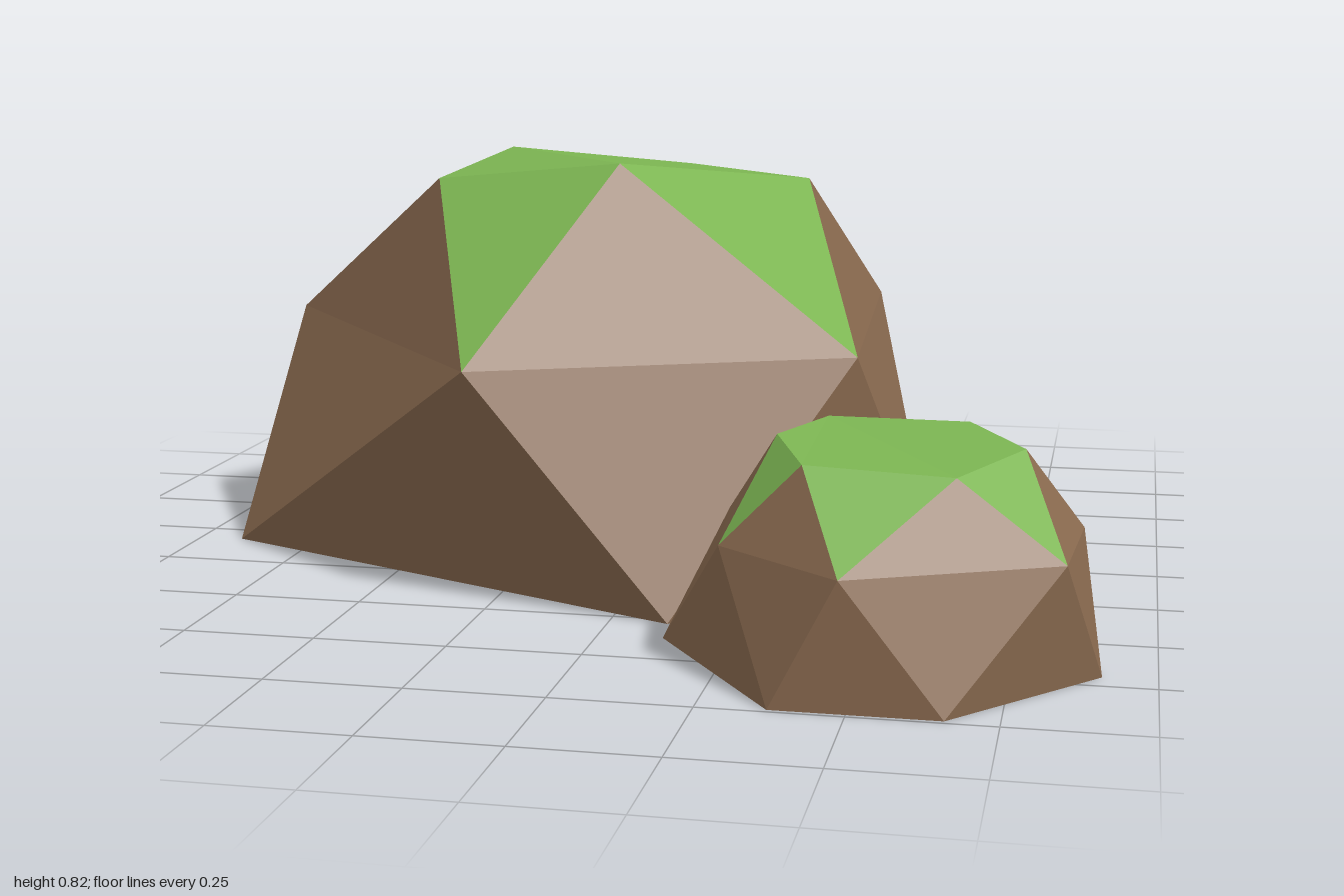
import * as THREE from 'three';

const earth = new THREE.MeshStandardMaterial({ color: 0x8b6b50 });
earth.name = 'earthBrown';
const moss = new THREE.MeshStandardMaterial({ color: 0x7cb552 });
moss.name = 'mossGreen';

// Non-indexed triangles give faceted normals
function facetMesh(name, triangles, material) {
  const geometry = new THREE.BufferGeometry();
  geometry.setAttribute('position', new THREE.Float32BufferAttribute(triangles.flat(2), 3));
  geometry.computeVertexNormals();
  const mesh = new THREE.Mesh(geometry, material);
  mesh.name = name;
  return mesh;
}

// Rock from three rings, each counter-clockwise from above; the top and base
// corners sit between consecutive middle corners. mossySides lists the side
// facets that are overgrown as well.
function makeRock(name, top, middle, base, mossySides = []) {
  const n = middle.length;
  const green = [], brown = [];
  for (let i = 0; i < n; i++) {
    const j = (i + 1) % n;
    (mossySides.includes(i) ? green : brown).push([middle[i], middle[j], top[i]]);
    green.push([middle[j], top[j], top[i]]);
    brown.push([middle[j], middle[i], base[i]], [base[i], base[j], middle[j]]);
  }
  // Fans for the mossy top and the flat underside
  for (let k = 1; k < n - 1; k++) {
    green.push([top[4], top[(4 + k) % n], top[(5 + k) % n]]);
    brown.push([base[0], base[k + 1], base[k]]);
  }
  const rock = new THREE.Group();
  rock.name = name;
  rock.add(facetMesh('rockBody', brown, earth), facetMesh('mossCap', green, moss));
  return rock;
}

// Ring of [x, z] corners at one height
const level = (y, corners) => corners.map(([x, z]) => [x, y, z]);

export function createModel() {
  const model = new THREE.Group();
  model.name = 'mossyRocks';

  model.add(makeRock('largeRock',
    [[-0.45, 0.78, 0.10], [-0.05, 0.825, 0.21], [0.26, 0.765, -0.22], [-0.08, 0.755, -0.67], [-0.46, 0.80, -0.50]],
    level(0.46, [[-0.87, -0.24], [-0.28, 0.53], [0.42, 0.22], [0.36, -0.72], [-0.18, -1.0]]),
    level(0, [[-0.91, 0.075], [0.11, 0.53], [0.55, -0.06], [0.15, -0.89], [-0.69, -0.80]]),
    [3]));

  model.add(makeRock('smallRock',
    [[0.40, 0.375, 0.82], [0.66, 0.365, 0.825], [0.765, 0.385, 0.66],
      [0.655, 0.39, 0.46], [0.40, 0.395, 0.48], [0.33, 0.39, 0.64]],
    level(0.225, [[0.255, 0.805], [0.485, 0.995], [0.845, 0.825], [0.865, 0.545], [0.57, 0.28], [0.225, 0.52]]),
    level(0, [[0.37, 0.99], [0.66, 0.99], [0.905, 0.70], [0.69, 0.315], [0.36, 0.28], [0.12, 0.62]])));

  return model;
}
